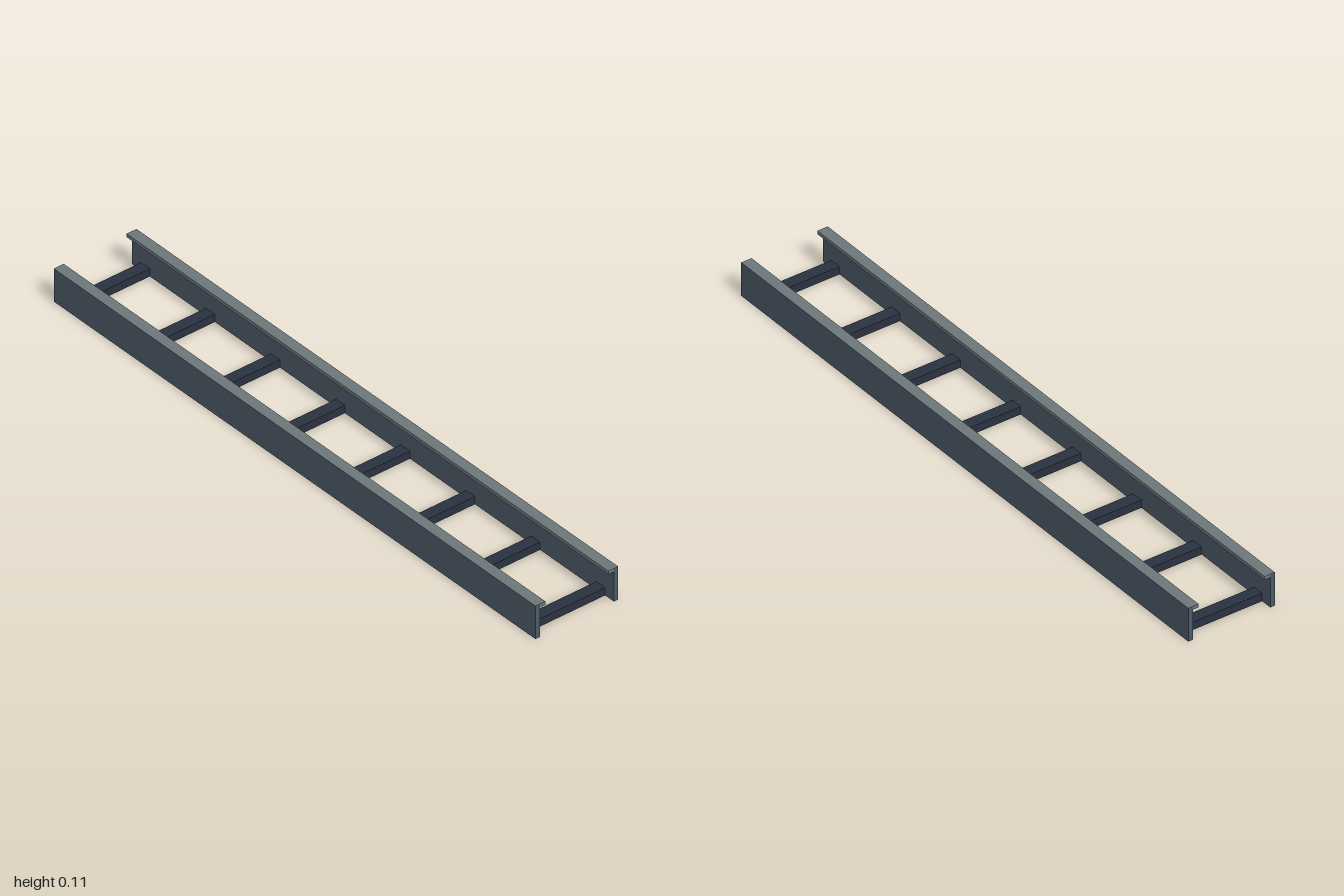
import * as THREE from 'three';

const LENGTH = 2, HEIGHT = 0.107;
const OUTER = 0.142, INNER = 0.127, LIP_EDGE = 0.108, LIP_THICK = 0.011;
const RUNGS = 8, RUNG_SPAN = 1.89;

function material(name, color) {
  const m = new THREE.MeshStandardMaterial({ color });
  m.name = name;
  return m;
}

function box(name, size, position, mat) {
  const mesh = new THREE.Mesh(new THREE.BoxGeometry(...size), mat);
  mesh.name = name;
  mesh.position.set(...position);
  return mesh;
}

export function createModel() {
  const slate = material('slate steel', 0x4c5a67);
  const grey = material('grey flange', 0x6c777a);
  const dark = material('dark rung steel', 0x2a3240);

  const tray = new THREE.Group();
  tray.name = 'ladderTray';

  // Side rails: an upright web with a grey top edge and an inward lip
  for (const [side, s] of [['front', 1], ['back', -1]]) {
    const rail = new THREE.Group();
    rail.name = side + 'Rail';
    rail.add(
      box('web', [LENGTH, HEIGHT, OUTER - INNER], [0, HEIGHT / 2, s * (OUTER + INNER) / 2],
        [slate, slate, grey, slate, slate, slate]),
      box('lip', [LENGTH, LIP_THICK, INNER - LIP_EDGE],
        [0, HEIGHT - LIP_THICK / 2, s * (INNER + LIP_EDGE) / 2], grey),
    );
    tray.add(rail);
  }

  // Evenly spaced rungs between the rails
  const rungs = new THREE.Group();
  rungs.name = 'rungs';
  for (let i = 0; i < RUNGS; i++) {
    const x = RUNG_SPAN * (i / (RUNGS - 1) - 0.5);
    rungs.add(box('rung' + (i + 1), [0.037, 0.025, INNER * 2], [x, 0.0125, 0], dark));
  }
  tray.add(rungs);

  return tray;
}
